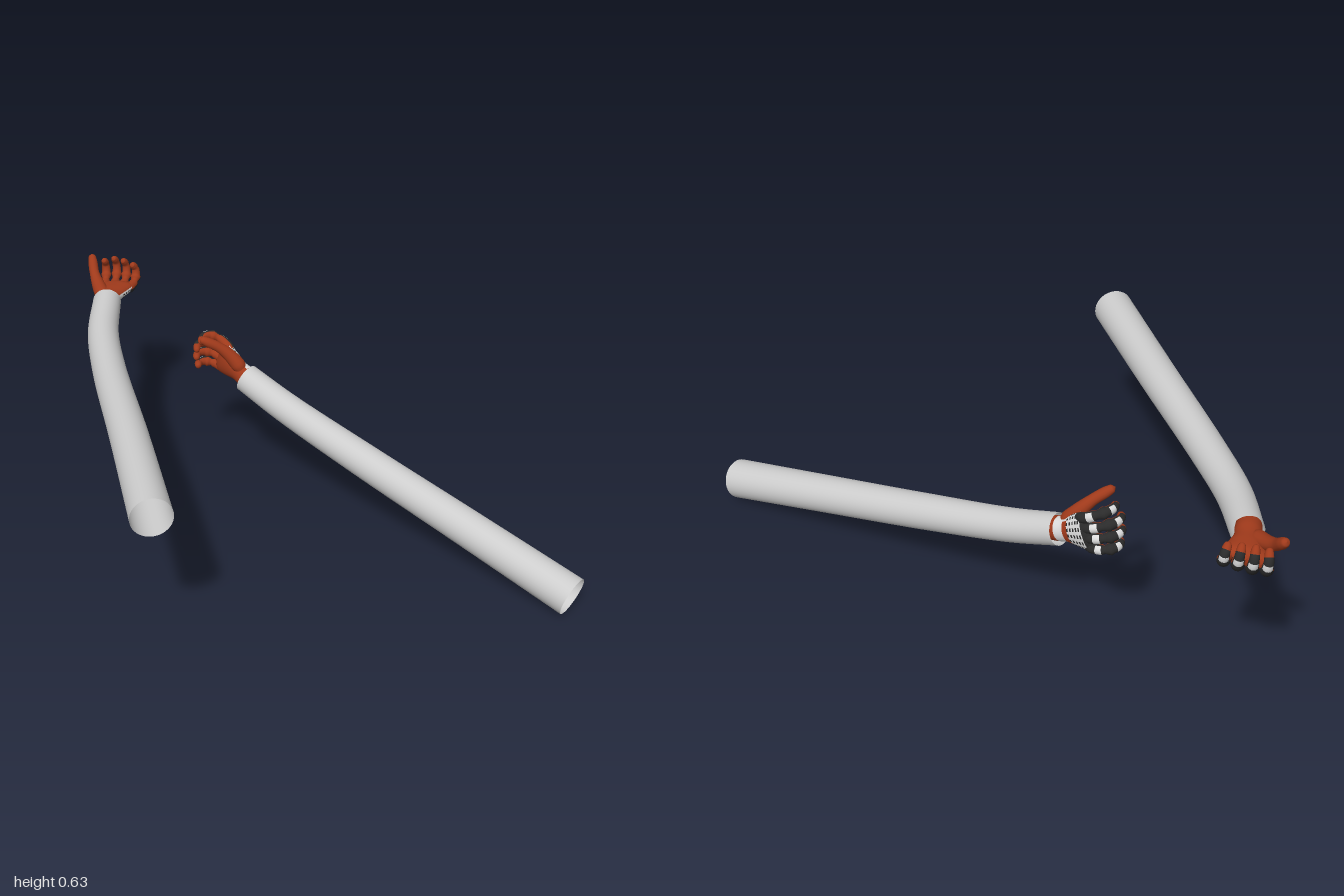
import * as THREE from 'three';

const mat = (name, color, side = THREE.FrontSide) => {
  const m = new THREE.MeshStandardMaterial({ color, side });
  m.name = name;
  return m;
};

// Elliptical loft along a smooth path of [x, y, z, halfWidth, halfHeight].
// paint(u, a, i, j) gives the material index of each cell (a = angle, back of hand at +90 degrees).
function loft(name, path, rings, sides, materials, paint = () => 0) {
  const centre = new THREE.CatmullRomCurve3(path.map(p => new THREE.Vector3(p[0], p[1], p[2])));
  const size = new THREE.CatmullRomCurve3(path.map(p => new THREE.Vector3(p[3], p[4], 0)));
  const pos = [], lists = materials.map(() => []);
  for (let i = 0; i <= rings; i++) {
    const t = i / rings, c = centre.getPoint(t), r = size.getPoint(t), T = centre.getTangent(t);
    const S = new THREE.Vector3(1, 0, 0).addScaledVector(T, -T.x).normalize();
    const N = T.clone().cross(S);
    for (let j = 0; j < sides; j++) {
      const a = j / sides * Math.PI * 2;
      const v = c.clone().addScaledVector(S, Math.max(r.x, 0) * Math.cos(a)).addScaledVector(N, Math.max(r.y, 0) * Math.sin(a));
      pos.push(v.x, v.y, v.z);
    }
  }
  for (let i = 0; i < rings; i++) for (let j = 0; j < sides; j++) {
    const k = (j + 1) % sides, a = i * sides + j, b = i * sides + k;
    const u = (i + 0.5) / rings * (path.length - 1);
    lists[paint(u, (j + 0.5) / sides * Math.PI * 2, i, j)].push(a, b, b + sides, a, b + sides, a + sides);
  }
  const g = new THREE.BufferGeometry();
  g.setAttribute('position', new THREE.Float32BufferAttribute(pos, 3));
  g.setIndex(lists.flat());
  let start = 0;
  lists.forEach((l, m) => { if (l.length) g.addGroup(start, l.length, m); start += l.length; });
  g.computeVertexNormals();
  const mesh = new THREE.Mesh(g, materials.length > 1 ? materials : materials[0]);
  mesh.name = name;
  return mesh;
}

export function createModel() {
  const model = new THREE.Group();
  model.name = 'glovedArms';
  const sleeveMat = mat('sleeve grey', 0xcccccc, THREE.DoubleSide);
  const glove = [mat('glove red', 0xa03a1b), mat('armour white', 0xdcdcdc), mat('knuckle black', 0x2b2b2b)];
  const RED = 0, WHITE = 1, BLACK = 2;

  // Hand: +z to the fingers, +y out of its back, thumb on the given side of x
  function hand(name, side, wrist, forward, back) {
    const h = new THREE.Group();
    h.name = name;

    // Wrist and palm: red inside, white perforated back, black knuckle band
    h.add(loft('palm', [
      [0, 0, -0.03, 0.036, 0.034], [0, 0, 0, 0.038, 0.034], [0, 0, 0.03, 0.038, 0.030],
      [0, 0, 0.07, 0.052, 0.028], [0, 0, 0.105, 0.062, 0.025], [0, 0, 0.125, 0.058, 0.016],
      [0, 0, 0.132, 0, 0]], 42, 32, glove, (u, a, i, j) => {
      if (Math.sin(a) < -0.15 || u < 1.2) return RED;
      if (u > 4) return BLACK;
      if (u > 2.2 && u < 2.6 && Math.sin(a) > 0.5) return RED;
      return u > 2.6 && i % 2 === 0 && j % 2 === 0 ? BLACK : WHITE;
    }));

    // Curled fingers from index to little
    [['index', 1], ['middle', 1.08], ['ring', 1], ['little', 0.85]].forEach(([label, s], n) => {
      const x = side * (0.048 - n * 0.032), sx = side * (1.5 - n) * 0.004;
      const p = (y, z, r, k) => [x + sx * k, y * s, 0.105 + z * s, r, r];
      h.add(loft(label + 'Finger', [
        p(0.003, -0.015, 0.012, 0), p(0.005, 0.01, 0.0175, 0), p(0, 0.045, 0.0155, 1),
        p(-0.022, 0.074, 0.0155, 1.5), p(-0.05, 0.08, 0.0135, 1.5), p(-0.068, 0.068, 0.012, 1),
        p(-0.075, 0.059, 0.008, 1), p(-0.077, 0.056, 0, 1)], 28, 14, glove, (u, a) => {
        if (Math.sin(a) < -0.1 || u > 4.6) return RED;
        return (u > 1.4 && u < 2.1 || u > 3.2 && u < 3.7) && Math.sin(a) > 0.6 ? WHITE : BLACK;
      }));
    });

    // Thumb with its fleshy base
    h.add(loft('thumb', [
      [0.012, -0.006, 0.012, 0.012, 0.012], [0.03, -0.012, 0.04, 0.026, 0.024],
      [0.055, -0.03, 0.078, 0.022, 0.021], [0.074, -0.055, 0.11, 0.017, 0.017],
      [0.084, -0.08, 0.136, 0.0165, 0.0165], [0.09, -0.097, 0.153, 0.012, 0.012],
      [0.092, -0.103, 0.159, 0, 0]].map(([x, ...r]) => [x * side, ...r]), 28, 14, glove));

    const Z = new THREE.Vector3(...forward).normalize();
    const X = new THREE.Vector3(...back).cross(Z).normalize();
    const Y = Z.clone().cross(X);
    h.quaternion.setFromRotationMatrix(new THREE.Matrix4().makeBasis(X, Y, Z));
    h.position.set(...wrist);
    model.add(h);
  }

  // Long open sleeves, tapering toward the wrists
  model.add(loft('leftSleeve', [
    [-0.524, 0.52, 0.207, 0.064, 0.064], [-0.26, 0.517, -0.155, 0.06, 0.06],
    [-0.01, 0.512, -0.505, 0.055, 0.055], [0.14, 0.52, -0.69, 0.052, 0.052],
    [0.285, 0.538, -0.823, 0.048, 0.048]], 40, 40, [sleeveMat]));
  model.add(loft('rightSleeve', [
    [0.507, 0.067, 0.985, 0.064, 0.064], [0.481, 0.156, 0.6, 0.06, 0.06],
    [0.453, 0.248, 0.2, 0.056, 0.056], [0.431, 0.328, -0.12, 0.051, 0.051],
    [0.419, 0.383, -0.29, 0.048, 0.048]], 40, 40, [sleeveMat]));

  hand('leftHand', -1, [0.285, 0.538, -0.825], [0.88, 0.02, -0.47], [0.05, -1, 0.1]);
  hand('rightHand', 1, [0.419, 0.386, -0.29], [0.02, 0.33, -0.94], [1, 0, 0]);
  return model;
}
